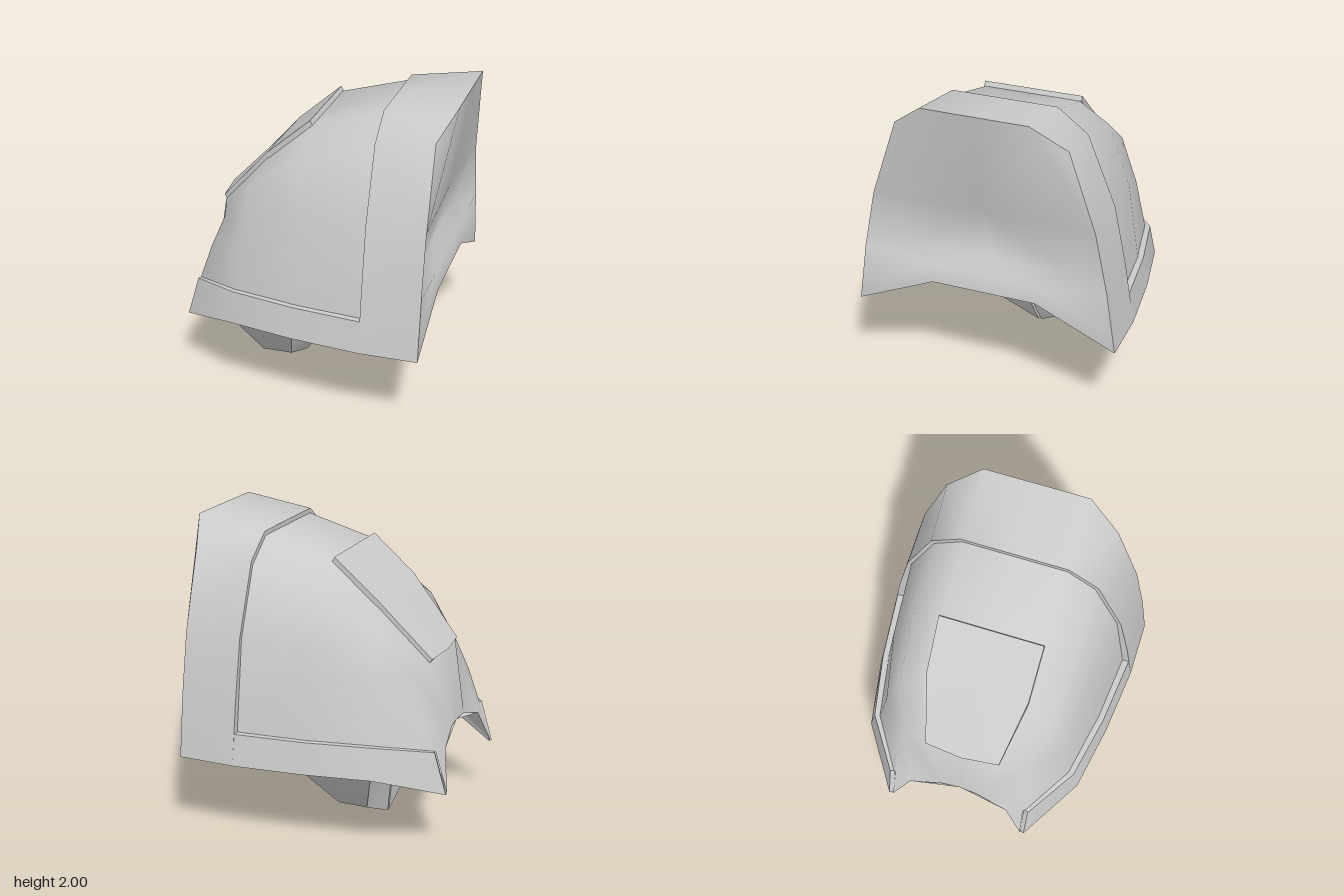
import * as THREE from 'three';
import { toCreasedNormals } from 'three/addons/utils/BufferGeometryUtils.js';

const material = new THREE.MeshStandardMaterial({ color: 0xcccccc, side: THREE.DoubleSide });

// Half section (centre line first, ending at +z) mirrored into a full one from +z to -z
const mirrored = (half) => [
  ...half.slice().reverse(),
  ...half.slice(1).map(([x, y, z]) => [x, y, -z]),
];

// Surface through rows of points; 'closed' wraps each row and caps both ends
function loft(name, rows, { closed = false, crease = 0.5, flip = false } = {}) {
  const pos = [];
  const tri = (a, b, c) => {
    const [p, q, r] = (flip ? [a, c, b] : [a, b, c]).map((v) => new THREE.Vector3(...v));
    const area = q.clone().sub(p).cross(r.clone().sub(p)).length();
    if (area > 1e-7) [p, q, r].forEach((v) => pos.push(v.x, v.y, v.z));
  };
  const gap = (a, b) => Math.hypot(a[0] - b[0], a[1] - b[1], a[2] - b[2]);
  // Split along the shorter diagonal, so both halves match
  const quad = (a, b, c, d) => {
    if (gap(a, c) < gap(b, d)) { tri(a, b, c); tri(a, c, d); }
    else { tri(a, b, d); tri(b, c, d); }
  };
  const n = rows[0].length;
  for (let i = 0; i + 1 < rows.length; i++) {
    for (let j = 0; j < (closed ? n : n - 1); j++) {
      const k = (j + 1) % n;
      quad(rows[i][j], rows[i][k], rows[i + 1][k], rows[i + 1][j]);
    }
  }
  if (closed) {
    const a = rows[0], b = rows[rows.length - 1];
    for (let j = 1; j + 1 < n; j++) {
      tri(a[0], a[j + 1], a[j]);
      tri(b[0], b[j], b[j + 1]);
    }
  }
  const geometry = new THREE.BufferGeometry();
  geometry.setAttribute('position', new THREE.Float32BufferAttribute(pos, 3));
  const mesh = new THREE.Mesh(toCreasedNormals(geometry, crease), material);
  mesh.name = name;
  return mesh;
}

export function createModel() {
  const group = new THREE.Group();
  group.name = 'shoulderGuard';

  // Domed shell: centre, top edge, shoulder, flank, lower edge at each station
  const shell = [
    [[0.4, 1.9, 0], [0.4, 1.9, 0.33], [0.4, 1.76, 0.515], [0.4, 1.34, 0.69], [0.4, 0.7, 0.79]],
    [[-0.05, 1.78, 0], [-0.05, 1.78, 0.32], [-0.08, 1.64, 0.505], [-0.05, 1.25, 0.66], [-0.05, 0.7, 0.745]],
    [[-0.35, 1.53, 0], [-0.35, 1.53, 0.31], [-0.41, 1.4, 0.49], [-0.44, 1.08, 0.59], [-0.47, 0.7, 0.665]],
    [[-0.69, 1.17, 0], [-0.67, 1.17, 0.24], [-0.61, 1.14, 0.41], [-0.7, 0.92, 0.445], [-0.78, 0.69, 0.455]],
    [[-0.77, 0.73, 0], [-0.78, 0.73, 0.12], [-0.81, 0.66, 0.33], [-0.785, 0.68, 0.44], [-0.78, 0.69, 0.455]],
  ];
  group.add(loft('shell', shell.map(mirrored), { crease: 1 }));

  // Raised strip around the wide end, with the step down to the shell
  const stripInner = [[0.4, 1.93, 0], [0.4, 1.93, 0.34], [0.4, 1.785, 0.535], [0.4, 1.34, 0.715], [0.4, 0.95, 0.795], [0.4, 0.55, 0.86]];
  const stripOuter = [[0.86, 2, 0], [0.86, 2, 0.34], [0.77, 1.84, 0.55], [0.77, 1.34, 0.72], [0.77, 0.95, 0.8], [0.77, 0.55, 0.86]];
  const stepFoot = [[0.4, 1.89, 0], [0.4, 1.89, 0.325], [0.4, 1.75, 0.51], [0.4, 1.34, 0.68], [0.4, 0.95, 0.74], [0.4, 0.55, 0.8]];
  group.add(loft('endStrip', [stripOuter, stripInner, stepFoot].map(mirrored), { crease: 0.9 }));

  // Hollowed wide end: overhanging top, shallow middle, lip at the bottom
  const hollow = [
    [[0.86, 2, 0], [0.86, 2, 0.34], [0.86, 2, 0.34]],
    [[0.835, 1.84, 0], [0.838, 1.84, 0.43], [0.77, 1.84, 0.55]],
    [[0.745, 1.34, 0], [0.77, 1.34, 0.72], [0.77, 1.34, 0.72]],
    [[0.66, 0.98, 0], [0.67, 0.98, 0.5], [0.77, 0.95, 0.8]],
    [[0.75, 0.89, 0], [0.75, 0.89, 0.34], [0.77, 0.65, 0.845]],
    [[0.77, 0.78, 0], [0.77, 0.78, 0.34], [0.77, 0.55, 0.86]],
  ];
  group.add(loft('hollowEnd', hollow.map(mirrored), { crease: 1.2, flip: true }));

  // Arched underside, closing at the pointed corners of the narrow end
  const underside = [
    [[0.77, 0.78, 0], [0.77, 0.78, 0.34], [0.77, 0.55, 0.86]],
    [[0.4, 0.78, 0], [0.4, 0.78, 0.34], [0.4, 0.55, 0.83]],
    [[-0.05, 0.78, 0], [-0.05, 0.78, 0.34], [-0.05, 0.55, 0.78]],
    [[-0.38, 0.78, 0], [-0.38, 0.78, 0.33], [-0.47, 0.55, 0.7]],
    [[-0.77, 0.73, 0], [-0.81, 0.66, 0.33], [-0.87, 0.42, 0.45]],
    [[-0.77, 0.73, 0], [-0.81, 0.66, 0.33], [-0.785, 0.68, 0.44]],
  ];
  group.add(loft('underside', underside.map(mirrored), { flip: true, crease: 0.3 }));

  // Raised plate on the slope
  const plate = [
    [-0.05, 1.78, 0.33, -0.065, 1.81, 0],
    [-0.35, 1.52, 0.325, -0.35, 1.565, 0],
    [-0.66, 1.17, 0.24, -0.68, 1.2, 0.025],
  ].map(([x, y, z, topX, topY, bow]) => [
    [x, y, z], [topX, topY, z], [topX - bow, topY, 0], [topX, topY, -z], [x, y, -z], [x - bow, y, 0],
  ]);
  group.add(loft('slopePlate', plate, { closed: true, crease: 0.35 }));

  // Skirt band and strap, one of each per side
  const band = [
    [[0.4, 0.75, 0.825], [0.4, 0.55, 0.86], [0.4, 0.55, 0.8], [0.4, 0.75, 0.77]],
    [[-0.05, 0.75, 0.775], [-0.05, 0.55, 0.81], [-0.05, 0.55, 0.76], [-0.05, 0.75, 0.73]],
    [[-0.47, 0.75, 0.69], [-0.48, 0.55, 0.73], [-0.46, 0.55, 0.68], [-0.46, 0.75, 0.65]],
    [[-0.79, 0.69, 0.475], [-0.87, 0.42, 0.475], [-0.86, 0.42, 0.445], [-0.78, 0.69, 0.445]],
  ];
  const strap = [
    [[-0.05, 0.55, 0.78], [-0.46, 0.55, 0.7], [-0.4, 0.78, 0.33], [-0.05, 0.78, 0.34]],
    [[-0.155, 0.24, 0.48], [-0.35, 0.24, 0.48], [-0.36, 0.4, 0.3], [-0.05, 0.4, 0.3]],
    [[-0.2, 0, 0.01], [-0.31, 0, 0.01], [-0.33, 0.22, 0.01], [-0.05, 0.22, 0.01]],
  ];
  for (const [side, s] of [['front', 1], ['back', -1]]) {
    const place = (rows) => rows.map((row) => row.map(([x, y, z]) => [x, y, z * s]));
    group.add(loft(side + 'SkirtBand', place(band), { closed: true, flip: s > 0 }));
    group.add(loft(side + 'Strap', place(strap), { closed: true, flip: s < 0, crease: 0.6 }));
  }
  return group;
}
